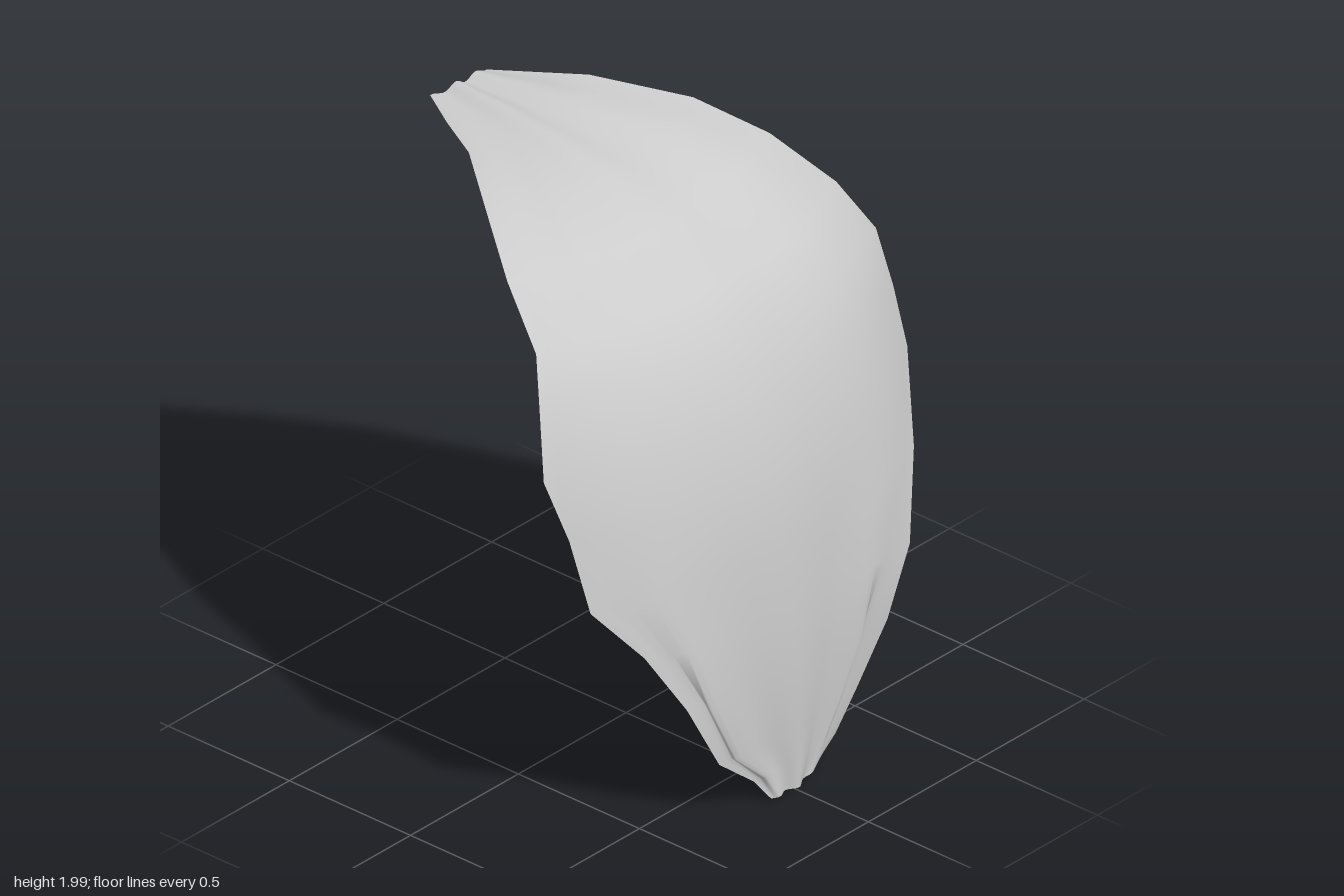
import * as THREE from 'three';

// Guide rows from the lower tip to the upper tip: [x, y, z] per rail
const LEFT = [[-.1, .01, .69], [-.16, .09, .67], [-.32, .22, .67], [-.47, .48, .67], [-.6, .7, .61],
  [-.75, .89, .52], [-.77, 1.13, .45], [-.81, 1.33, .38], [-.76, 1.51, .32], [-.7, 1.69, .25],
  [-.62, 1.84, .06], [-.49, 1.95, -.14], [-.28, 1.97, -.4], [-.19, 1.97, -.57], [-.1, 1.97, -.72]];
const MIDDLE = [[.01, .005, .69], [.01, .1, .695], [0, .22, .7], [0, .42, .712], [0, .65, .71],
  [0, .9, .695], [0, 1.13, .667], [0, 1.37, .602], [0, 1.55, .52], [0, 1.71, .41],
  [0, 1.85, .2], [0, 1.935, 0], [0, 1.975, -.25], [.01, 1.985, -.48], [.02, 1.98, -.7]];
const RIGHT = [[.13, .02, .66], [.23, .09, .66], [.33, .21, .66], [.46, .4, .67], [.57, .62, .665],
  [.69, .88, .575], [.8, 1.14, .45], [.803, 1.33, .39], [.79, 1.52, .33], [.73, 1.67, .22],
  [.6, 1.84, .06], [.48, 1.94, -.15], [.3, 1.995, -.42], [.22, 1.985, -.56], [.14, 1.975, -.7]];

const { smoothstep, lerp } = THREE.MathUtils;

export function createModel() {
  const rows = MIDDLE.length - 1, cols = 40;
  const geometry = new THREE.PlaneGeometry(1, 1, cols, rows);
  const pos = geometry.attributes.position;

  for (let j = 0; j <= rows; j++) {
    const k = rows - j, t = k / rows; // plane rows run from top to bottom
    const m = MIDDLE[k];
    const lean = smoothstep(t, .45, .85) * Math.PI / 2; // surface turns from facing forward to up
    const pleat = smoothstep(t, .02, .12) * (1 - smoothstep(t, .2, .33));
    const wave = .005 + .006 * Math.abs(2 * t - 1);

    for (let i = 0; i <= cols; i++) {
      const s = 2 * i / cols - 1, a = Math.abs(s);
      const edge = (s < 0 ? LEFT : RIGHT)[k];
      // Folded pleat near each lower side, wider on the +x side
      const start = s < 0 ? .65 : .35;
      const u = Math.max(0, (a - start) / (1 - start));
      const across = a + pleat * (1 - start) * .2 * Math.sin(2 * Math.PI * u);
      const tuck = pleat * .03 * smoothstep(u, .2, .8) * (1 - u);
      const bend = Math.pow(a, 2.3);
      // Soft lengthwise ribs and a raised crease on the upper -x side
      const rib = wave * Math.sin(s * 8 + 1.2 + t * 2) * (1 - .5 * a)
        + .02 * Math.exp(-(((s + .58) / .13) ** 2) - ((t - .74) / .07) ** 2);
      pos.setXYZ(j * (cols + 1) + i,
        lerp(m[0], edge[0], across),
        Math.max(0, lerp(m[1], edge[1], bend) + rib * Math.sin(lean)),
        lerp(m[2], edge[2], bend) + rib * Math.cos(lean) - tuck);
    }
  }
  geometry.computeVertexNormals();

  const petal = new THREE.Mesh(geometry,
    new THREE.MeshStandardMaterial({ color: 0xcccccc, side: THREE.DoubleSide }));
  petal.name = 'curvedPetal';
  const group = new THREE.Group();
  group.name = 'petal';
  group.add(petal);
  return group;
}
